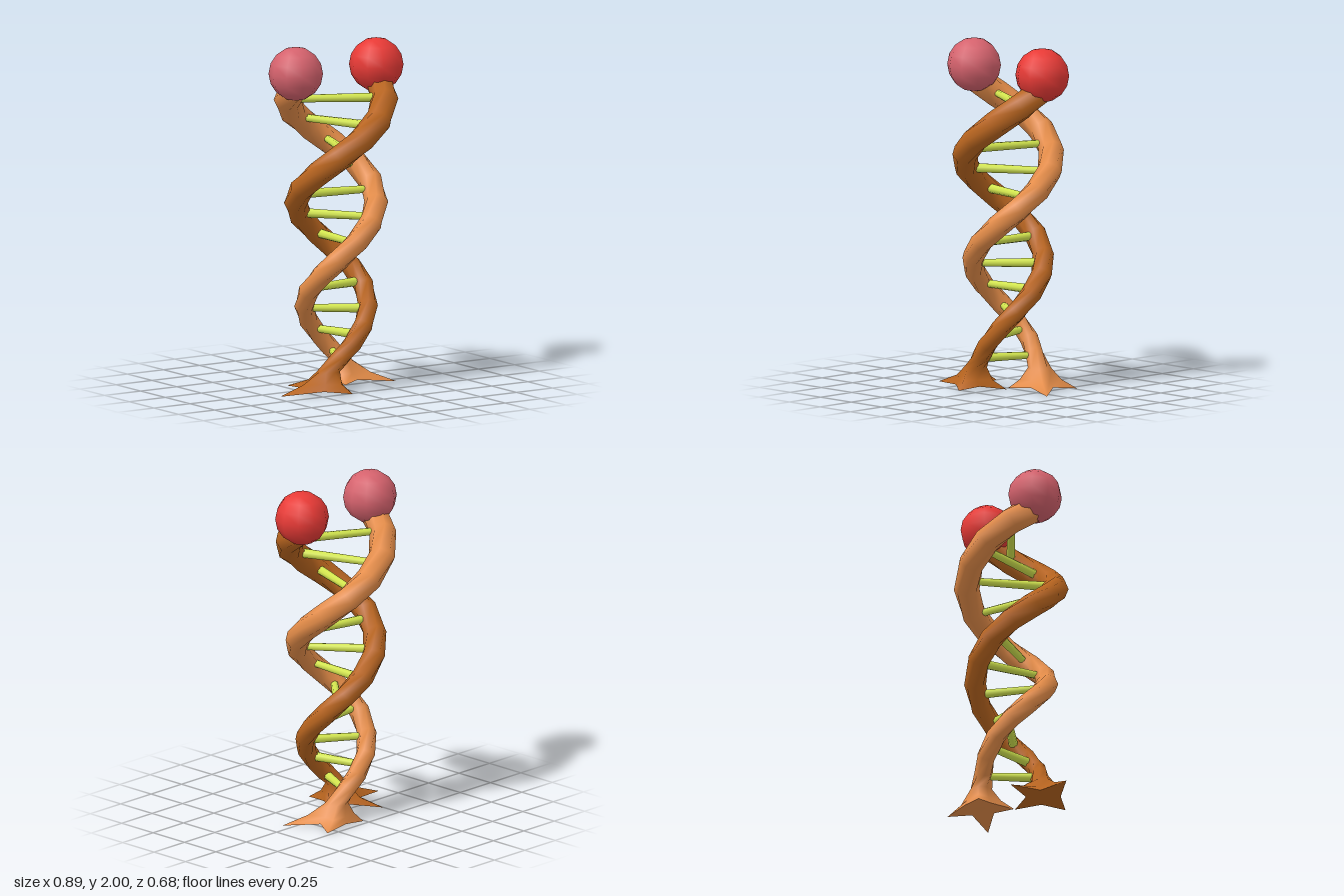
import * as THREE from 'three';

const SIDES = 8;
const CENTRE_X = 0.012;
const mat = (color) => new THREE.MeshStandardMaterial({ color });

// Helix rule: radius and thickness grow with height, a quarter turn per 0.3 units
const angleAt = (y) => (1.77 - y) * (Math.PI / 2) / 0.3;
const radiusAt = (y) => 0.145 + 0.08 * y;
const thickAt = (y) => 0.049 + 0.018 * y;
function helixPoint(y, phase, scale = 1) {
  const a = angleAt(y) + phase, r = radiusAt(y) * scale;
  return new THREE.Vector3(CENTRE_X + r * Math.cos(a), y, r * Math.sin(a));
}

// Strand: a lofted tube whose lowest rings spread into a four-pointed foot.
// foot = { centre: [x, z], tips: [[x, z] x 4], first: ring index of the first tip }
function strandGeometry(phase, foot) {
  const [fx, fz] = foot.centre;
  const base = new THREE.Vector3(fx, 0, fz);
  const path = [];
  const low = helixPoint(0.27, phase);
  path.push(low.clone().lerp(base, 0.85).setY(0.12));
  path.push(low.clone().lerp(base, 0.4).setY(0.2));
  for (let i = 15; i >= 0; i--) path.push(helixPoint(1.77 - i * 0.1, phase));
  path.push(helixPoint(1.77, phase).setY(1.82));

  const rings = [];
  path.forEach((c, i) => {
    const next = path[Math.min(i + 1, path.length - 1)];
    const prev = path[Math.max(i - 1, 0)];
    const t = next.clone().sub(prev).normalize();
    if (i === 0) t.set(0, 1, 0);
    const n = new THREE.Vector3(c.x - CENTRE_X, 0, c.z);
    n.addScaledVector(t, -n.dot(t)).normalize();
    const b = t.clone().cross(n);
    const r = i === path.length - 1 ? 0.04 : i === 0 ? 0.066 : thickAt(c.y);
    rings.push(Array.from({ length: SIDES }, (_, k) => {
      const a = k / SIDES * Math.PI * 2;
      return c.clone().addScaledVector(n, r * Math.cos(a)).addScaledVector(b, r * Math.sin(a));
    }));
  });

  // Star outline on the ground: tips alternate with valleys
  const star = [];
  for (let j = 0; j < 4; j++) {
    const p = foot.tips[j], q = foot.tips[(j + 1) % 4];
    const tip = new THREE.Vector3(p[0], j % 2 ? 0 : 0.008, p[1]);
    let a0 = Math.atan2(p[1] - fz, p[0] - fx), a1 = Math.atan2(q[1] - fz, q[0] - fx);
    if (a1 > a0) a1 -= Math.PI * 2;
    const mid = (a0 + a1) / 2;
    const valley = new THREE.Vector3(fx + 0.1 * Math.cos(mid), 0.018, fz + 0.1 * Math.sin(mid));
    star[(foot.first + 2 * j) % SIDES] = tip;
    star[(foot.first + 2 * j + 1) % SIDES] = valley;
  }
  const flare = star.map((p, k) => rings[0][k].clone().lerp(p, 0.4).setY(0.055));
  rings.unshift(star, flare);

  const pos = [], index = [];
  const add = (p) => pos.push(p.x, p.y, p.z);
  rings.forEach((ring) => ring.forEach(add));
  for (let i = 0; i < rings.length - 1; i++) {
    for (let k = 0; k < SIDES; k++) {
      const a = i * SIDES + k, b = i * SIDES + (k + 1) % SIDES;
      index.push(a, b, b + SIDES, a, b + SIDES, a + SIDES);
    }
  }
  // Underside of the foot, with its own corners so the rim stays sharp
  const start = pos.length / 3;
  star.forEach(add);
  add(new THREE.Vector3(fx, 0.025, fz));
  for (let k = 0; k < SIDES; k++) index.push(start + SIDES, start + (k + 1) % SIDES, start + k);

  const geo = new THREE.BufferGeometry();
  geo.setAttribute('position', new THREE.Float32BufferAttribute(pos, 3));
  geo.setIndex(index);
  geo.computeVertexNormals();
  return geo;
}

export function createModel() {
  const model = new THREE.Group();
  const add = (name, geo, material) => {
    const mesh = new THREE.Mesh(geo, material);
    mesh.name = name;
    model.add(mesh);
    return mesh;
  };

  // Two intertwined strands
  add('darkStrand', strandGeometry(0, {
    centre: [-0.15, 0.12], first: 1,
    tips: [[-0.08, 0.305], [0.04, 0.04], [-0.23, -0.14], [-0.447, 0.105]],
  }), mat(0xb9651f));
  add('lightStrand', strandGeometry(Math.PI, {
    centre: [0.16, -0.12], first: 0,
    tips: [[0.33, -0.24], [0.01, -0.215], [0.05, 0.04], [0.39, 0.06]],
  }), mat(0xe58d49));

  // Ball on top of each strand
  const ball = new THREE.SphereGeometry(0.156, 10, 8);
  add('redBall', ball, mat(0xe83a36)).position.set(0.291, 1.844, 0);
  add('pinkBall', ball, mat(0xd5626d)).position.set(-0.267, 1.844, 0);

  // Tapered rungs between the strands
  const rungMat = mat(0xd3e64f);
  const up = new THREE.Vector3(0, 1, 0);
  for (let i = 0; i < 12; i++) {
    const y = 1.675 - i * 0.1355;
    const a = helixPoint(y, 0, 0.9), b = helixPoint(y, Math.PI, 0.9);
    const dir = a.clone().sub(b);
    const rung = add('rung' + (i + 1), new THREE.CylinderGeometry(0.027, 0.021, dir.length(), 8), rungMat);
    rung.position.copy(a).add(b).multiplyScalar(0.5);
    rung.quaternion.setFromUnitVectors(up, dir.normalize());
  }
  return model;
}
